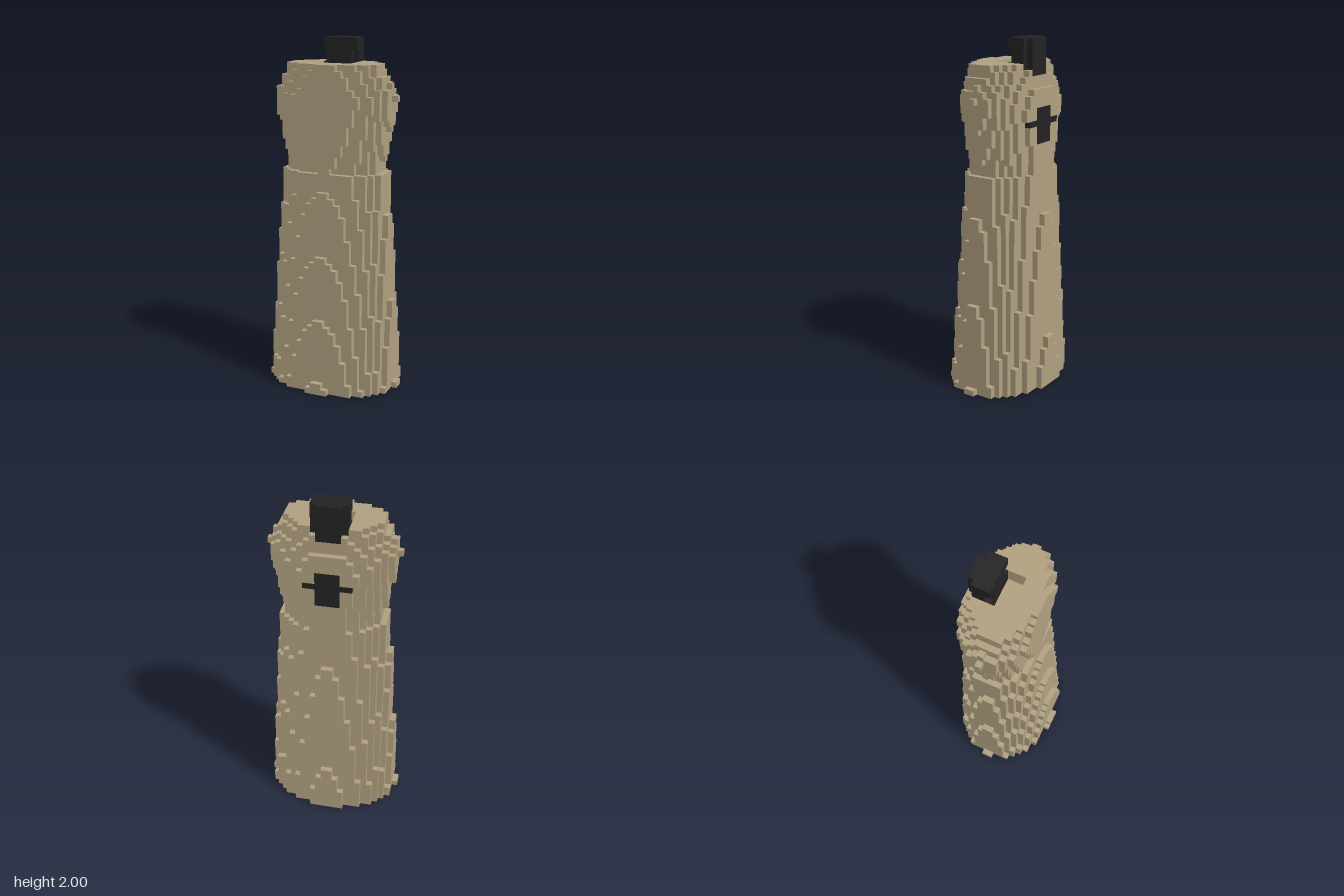
import * as THREE from 'three';

const U = 1 / 30; // edge of one cube
const SKIRT_TOP = 38, BODY_TOP = 56, TOP = 60;

// Linear interpolation through [height, value] keys
function ramp(keys, j) {
  for (let k = 1; k < keys.length; k++) {
    const [j0, v0] = keys[k - 1], [j1, v1] = keys[k];
    if (j <= j1) return v0 + (v1 - v0) * (j - j0) / (j1 - j0);
  }
  return keys[keys.length - 1][1];
}

// Half width, front depth and back depth of the upper body, in cubes
const UPPER_WIDTH = [[38, 8.13], [50, 10.53], [55, 8.03]];
const UPPER_FRONT = [[38, 4.55], [50, 5.42], [55, 4.6]];
const UPPER_BACK = [[38, 6.85], [48, 7.35], [51, 6.75], [52, 6.42], [55, 5.65]];

// Half-ellipses joined at z = 0; the skirt tapers more at the front
function inBody(x, j, z) {
  if (j < 0 || j >= BODY_TOP) return false;
  const skirt = j < SKIRT_TOP;
  const a = skirt ? 11.56 - j / 15 : ramp(UPPER_WIDTH, j);
  const front = skirt ? 8.65 - j / 11 : ramp(UPPER_FRONT, j);
  const back = skirt ? 8.88 - j / 22 : ramp(UPPER_BACK, j);
  const b = z > 0 ? front : back;
  return (x / a) ** 2 + (z / b) ** 2 <= 1;
}

// Block with a notched lower front and a rib down its back
function inTopBlock(x, j, z) {
  const ax = Math.abs(x);
  if (j < 53 || j >= TOP) return false;
  if (z === -5.5) return ax < 2 && j >= 54;
  if (z > -2 || z < -5 || ax > 3) return false;
  return !(j < 58 && j >= BODY_TOP && z === -2.5 && ax > 2);
}

// Upright bar with a short crossbar, set flush in the back
function inBackMark(x, j, z) {
  const ax = Math.abs(x);
  return z === -6.5 && j >= 43 && j < 49 && ax < (j === 46 ? 4 : 2);
}

// Part that fills a cell, or null when empty
function partAt(x, j, z) {
  if (inTopBlock(x, j, z)) return 'topBlock';
  if (j >= 53 && Math.abs(x) < 3 && z > -5 && z < 1) return null; // recess in the top
  if (!inBody(x, j, z)) return null;
  if (inBackMark(x, j, z)) return 'backMark';
  return j < SKIRT_TOP ? 'skirt' : 'upperBody';
}

// Six face directions with two edge axes each (u x v = n)
const FACES = [];
for (let axis = 0; axis < 3; axis++) {
  for (const s of [1, -1]) {
    const n = [0, 0, 0], u = [0, 0, 0], v = [0, 0, 0];
    n[axis] = s;
    u[(axis + 1) % 3] = s;
    v[(axis + 2) % 3] = 1;
    FACES.push({ n, u, v });
  }
}
const CORNERS = [[-1, -1], [1, -1], [1, 1], [-1, -1], [1, 1], [-1, 1]];

export function createModel() {
  const tan = new THREE.MeshStandardMaterial({ color: 0xb0a080 });
  tan.name = 'tan';
  const black = new THREE.MeshStandardMaterial({ color: 0x222222 });
  black.name = 'black';
  const materials = { skirt: tan, upperBody: tan, topBlock: black, backMark: black };

  const data = {};
  for (const name in materials) data[name] = { position: [], normal: [] };

  // Emit only the faces that border an empty cell
  for (let j = 0; j < TOP; j++) {
    for (let x = -11.5; x < 12; x++) {
      for (let z = -8.5; z < 9; z++) {
        const part = partAt(x, j, z);
        if (!part) continue;
        const c = [x, j + 0.5, z];
        for (const { n, u, v } of FACES) {
          if (partAt(x + n[0], j + n[1], z + n[2])) continue;
          for (const [p, q] of CORNERS) {
            for (let k = 0; k < 3; k++) {
              data[part].position.push((c[k] + (n[k] + p * u[k] + q * v[k]) / 2) * U);
              data[part].normal.push(n[k]);
            }
          }
        }
      }
    }
  }

  const group = new THREE.Group();
  group.name = 'blockFigure';
  for (const name in materials) {
    const geometry = new THREE.BufferGeometry();
    for (const key of ['position', 'normal']) {
      geometry.setAttribute(key, new THREE.Float32BufferAttribute(data[name][key], 3));
    }
    const mesh = new THREE.Mesh(geometry, materials[name]);
    mesh.name = name;
    group.add(mesh);
  }
  return group;
}
